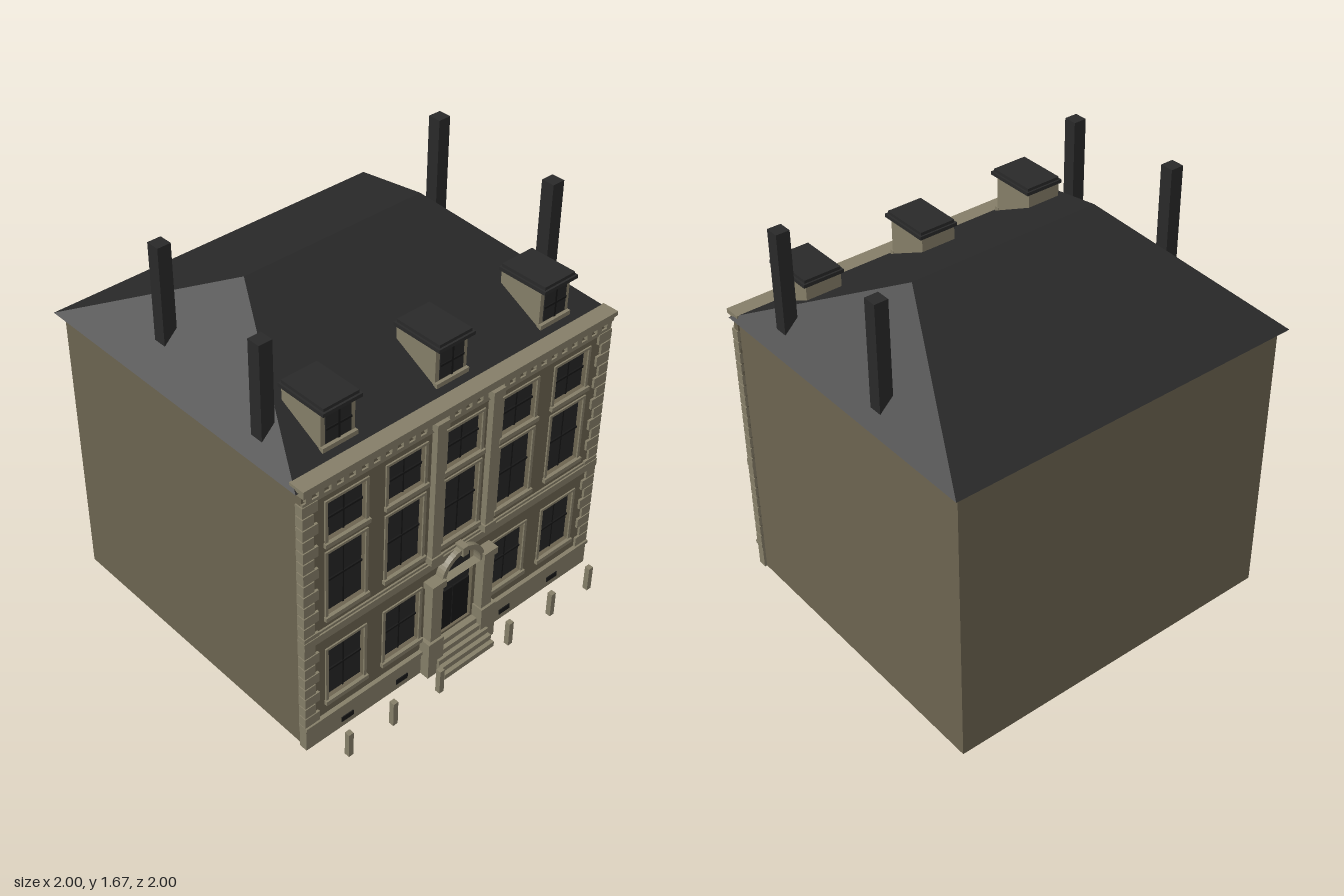
import * as THREE from 'three';

const mat = (name, color) => {
  const m = new THREE.MeshStandardMaterial({ color });
  m.name = name;
  return m;
};

export function createModel() {
  const wall = mat('brick', 0x6c6450);
  const stone = mat('stone', 0x857e68);
  const slate = mat('slate', 0x292929);
  const glass = mat('glass', 0x262626);
  const dark = mat('darkFrame', 0x171717);

  // The house is built square on, then turned 45 degrees as a whole.
  const house = new THREE.Group();
  house.name = 'townHouse';
  house.rotation.y = Math.PI / 4;

  const add = (name, geo, m, x = 0, y = 0, z = 0) => {
    const mesh = new THREE.Mesh(geo, m);
    mesh.name = name;
    mesh.position.set(x, y, z);
    house.add(mesh);
    return mesh;
  };
  // Box given by its limits on each axis
  const box = (name, m, x0, x1, y0, y1, z0, z1) =>
    add(name, new THREE.BoxGeometry(x1 - x0, y1 - y0, z1 - z0), m, (x0 + x1) / 2, (y0 + y1) / 2, (z0 + z1) / 2);
  const rect = (S, x0, x1, y0, y1) => {
    const s = new S();
    s.moveTo(x0, y0); s.lineTo(x1, y0); s.lineTo(x1, y1); s.lineTo(x0, y1); s.closePath();
    return s;
  };
  const arch = (S, r, y0, y1) => {
    const s = new S();
    s.moveTo(-r, y0); s.lineTo(r, y0); s.lineTo(r, y1);
    s.absarc(0, y1, r, 0, Math.PI, false);
    s.lineTo(-r, y0);
    return s;
  };
  const extrude = (name, shape, depth, m, z) =>
    add(name, new THREE.ExtrudeGeometry(shape, { depth, bevelEnabled: false, curveSegments: 12 }), m, 0, 0, z);

  const FACE = 0.645, GLASS = 0.628;

  // Main body
  box('body', wall, -0.715, 0.715, 0, 1.187, -0.643, 0.62);

  // Front wall with openings
  const front = rect(THREE.Shape, -0.722, 0.722, 0.0, 1.187);
  const bays = [-0.533, -0.268, 0, 0.268, 0.533];
  const rows = [[0.182, 0.423], [0.589, 0.868], [0.921, 1.087]];
  const W = 0.083;
  rows.forEach(([y0, y1], r) => bays.forEach((x) => {
    if (r === 0 && x === 0) return;
    front.holes.push(rect(THREE.Path, x - W, x + W, y0, y1));
    // Glass and its bars
    box('windowGlass', glass, x - W, x + W, y0, y1, 0.621, GLASS);
    const mid = (y0 + y1) / 2;
    box('windowRail', dark, x - W, x + W, mid - 0.004, mid + 0.004, GLASS, GLASS + 0.006);
    box('windowBar', dark, x - 0.003, x + 0.003, y0, y1, GLASS, GLASS + 0.004);
    // Surround and sill
    const f = rect(THREE.Shape, x - W - 0.012, x + W + 0.012, y0 - 0.01, y1 + 0.01);
    f.holes.push(rect(THREE.Path, x - W, x + W, y0, y1));
    extrude('windowSurround', f, 0.006, stone, FACE);
    box('windowSill', stone, x - W - 0.016, x + W + 0.016, y0 - 0.018, y0, FACE, FACE + 0.014);
  }));
  front.holes.push(arch(THREE.Path, 0.088, 0.125, 0.425));
  extrude('frontWall', front, FACE - 0.62, wall, 0.62);

  // Doorway: fanlight, double door, arch and piers
  extrude('fanlight', arch(THREE.Shape, 0.088, 0.125, 0.425), 0.006, glass, 0.621);
  for (const s of [-1, 1]) {
    box('doorLeaf', dark, s * 0.043 - 0.041, s * 0.043 + 0.041, 0.125, 0.315, 0.625, 0.634);
    box('doorPier', stone, s * 0.13 - 0.026, s * 0.13 + 0.026, 0.17, 0.42, FACE, 0.685);
    box('doorPierBase', stone, s * 0.135 - 0.037, s * 0.135 + 0.037, 0, 0.17, FACE, 0.695);
    box('doorPierCapital', stone, s * 0.13 - 0.034, s * 0.13 + 0.034, 0.42, 0.45, FACE, 0.693);
  }
  const ring = arch(THREE.Shape, 0.108, 0.42, 0.425);
  ring.holes.push(arch(THREE.Path, 0.088, 0.42, 0.425));
  extrude('doorArch', ring, 0.035, stone, FACE);
  box('keystone', stone, -0.014, 0.014, 0.505, 0.545, FACE, 0.688);

  // Plinth and basement grilles
  for (const s of [-1, 1]) {
    const side = (a, b) => (s > 0 ? [a, b] : [-b, -a]);
    box('plinth', stone, ...side(0.1, 0.725), 0, 0.1, 0.62, 0.655);
    box('plinthCap', stone, ...side(0.1, 0.728), 0.1, 0.115, 0.62, 0.662);
    for (const x of [0.268, 0.533]) {
      box('grille', dark, s * x - 0.028, s * x + 0.028, 0.028, 0.05, 0.652, 0.659);
    }
  }

  // Entrance steps
  for (let i = 0; i < 5; i++) {
    box('step', stone, -0.128, 0.128, 0, 0.023 * (5 - i), FACE - 0.01, 0.672 + i * 0.017);
  }

  // String course, cornice and dentils
  box('stringCourse', stone, -0.728, 0.728, 0.498, 0.53, 0.62, 0.658);
  box('stringMoulding', stone, -0.725, 0.725, 0.53, 0.54, 0.62, 0.652);
  box('architrave', stone, -0.722, 0.722, 1.125, 1.14, 0.64, 0.652);
  box('frieze', stone, -0.725, 0.725, 1.168, 1.19, 0.62, 0.66);
  box('cornice', stone, -0.732, 0.732, 1.19, 1.208, 0.6, 0.668);
  for (let i = 0; i < 28; i++) {
    const x = -0.702 + i * 0.052;
    box('dentil', stone, x - 0.012, x + 0.012, 1.147, 1.168, 0.64, 0.66);
  }

  // Pilasters beside the middle bay
  for (const s of [-1, 1]) {
    const x = s * 0.132;
    box('pilaster', stone, x - 0.021, x + 0.021, 0.56, 1.145, FACE, 0.67);
    box('pilasterBase', stone, x - 0.028, x + 0.028, 0.54, 0.57, FACE, 0.676);
    box('pilasterCapital', stone, x - 0.028, x + 0.028, 1.135, 1.168, FACE, 0.676);
  }

  // Corner quoins, alternately long and short
  for (let i = 0; i < 21; i++) {
    const y = 0.116 + i * 0.0485;
    const len = i % 2 ? 0.048 : 0.066;
    for (const s of [-1, 1]) {
      const a = s * 0.727, b = s * (0.727 - len);
      box('quoin', stone, Math.min(a, b), Math.max(a, b), y, y + 0.043, 0.62, 0.655);
    }
  }

  // Hipped roof: eaves corners, then the two ridge ends
  const P = [[-0.742, 1.187, 0.643], [0.742, 1.187, 0.643], [0.742, 1.187, -0.672], [-0.742, 1.187, -0.672],
    [-0.402, 1.52, -0.008], [0.402, 1.52, -0.008]];
  const faces = [0, 1, 5, 0, 5, 4, 1, 2, 5, 2, 3, 4, 2, 4, 5, 3, 0, 4, 0, 3, 2, 0, 2, 1];
  const roof = new THREE.BufferGeometry();
  roof.setAttribute('position', new THREE.Float32BufferAttribute(faces.flatMap((i) => P[i]), 3));
  roof.computeVertexNormals();
  add('roof', roof, slate);

  // Dormers
  for (const x of [-0.5, 0, 0.5]) {
    box('dormer', stone, x - 0.073, x + 0.073, 1.22, 1.378, 0.38, 0.567);
    box('dormerGlass', glass, x - 0.055, x + 0.055, 1.245, 1.362, 0.566, 0.57);
    box('dormerBar', dark, x - 0.004, x + 0.004, 1.245, 1.362, 0.569, 0.574);
    box('dormerRail', dark, x - 0.055, x + 0.055, 1.299, 1.307, 0.569, 0.574);
    box('dormerSill', stone, x - 0.075, x + 0.075, 1.222, 1.24, 0.56, 0.58);
    box('dormerEaves', slate, x - 0.083, x + 0.083, 1.376, 1.39, 0.375, 0.592);
    box('dormerRoof', slate, x - 0.075, x + 0.075, 1.39, 1.402, 0.382, 0.584);
  }

  // Chimneys
  const chimneys = [[-0.619, -0.166, 1.668], [-0.665, 0.396, 1.61], [0.668, -0.187, 1.658], [0.661, 0.378, 1.64]];
  for (const [x, z, top] of chimneys) {
    box('chimney', slate, x - 0.027, x + 0.027, 1.19, top, z - 0.027, z + 0.027);
  }

  // Bollards along the pavement
  for (const x of [-0.622, -0.41, -0.18, 0.18, 0.41, 0.622]) {
    box('bollard', stone, x - 0.011, x + 0.011, 0, 0.11, 0.753, 0.775);
  }

  const model = new THREE.Group();
  model.name = 'model';
  model.add(house);
  return model;
}
